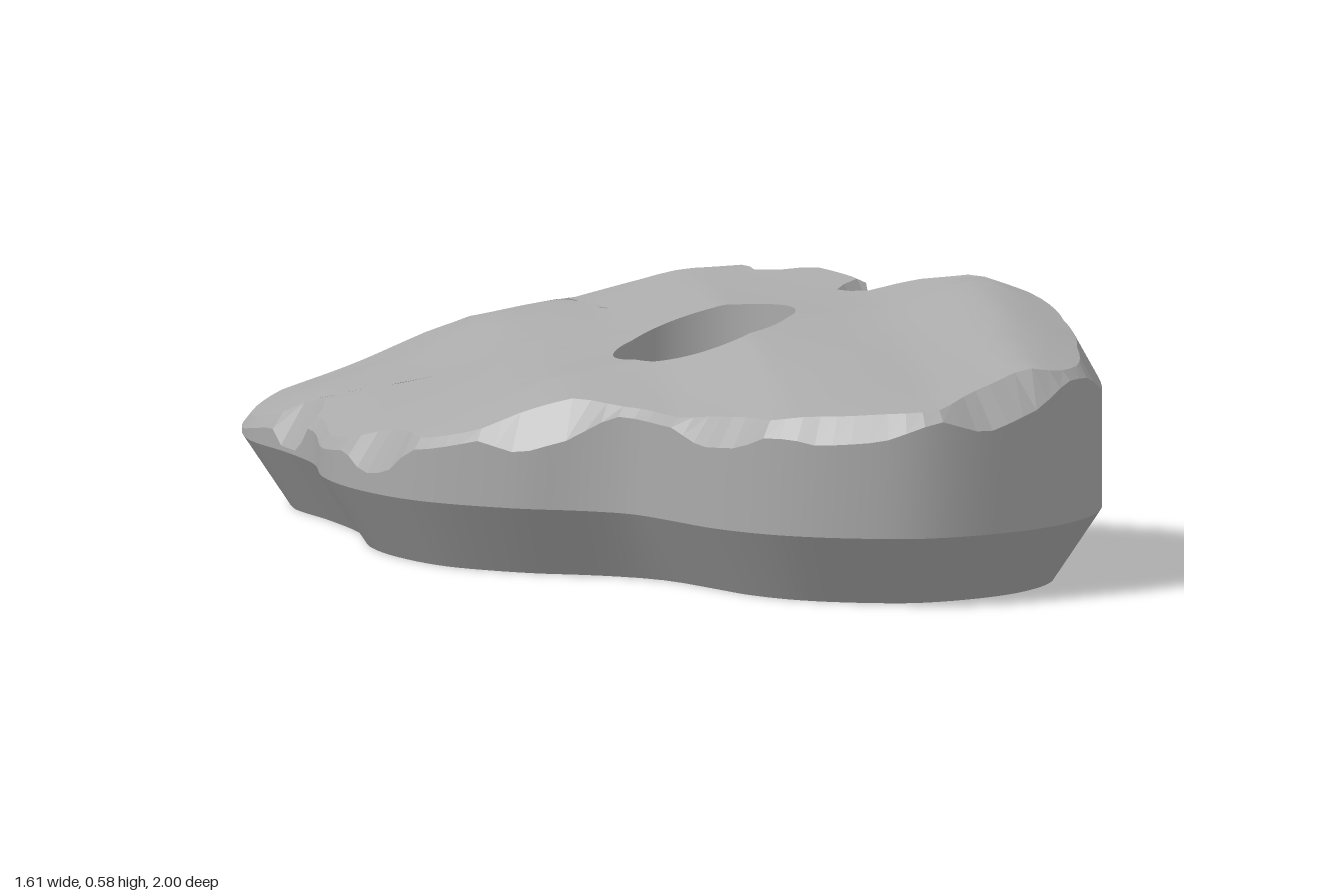
import * as THREE from 'three';

const N = 144;
const HOLE = { x: 0.03, z: 0.15, r: 0.19 };

// plan outline (x, z), running back -> right -> front -> left
const OUTLINE = [
  [-0.45, -1], [-0.34, -0.98], [-0.22, -0.91], [-0.13, -0.8], [-0.05, -0.71], [0.03, -0.64],
  [0.16, -0.56], [0.27, -0.47], [0.36, -0.34], [0.41, -0.2], [0.43, -0.06], [0.48, 0.03],
  [0.57, 0.12], [0.68, 0.21], [0.76, 0.32], [0.8, 0.46], [0.8, 0.58], [0.76, 0.72],
  [0.66, 0.86], [0.53, 0.95], [0.36, 1], [0.2, 0.97], [0.06, 0.9], [-0.05, 0.79],
  [-0.12, 0.67], [-0.19, 0.56], [-0.28, 0.5], [-0.42, 0.44], [-0.6, 0.3], [-0.7, 0.12],
  [-0.74, -0.06], [-0.73, -0.25], [-0.76, -0.42], [-0.81, -0.62], [-0.78, -0.82],
  [-0.69, -0.93], [-0.57, -0.98],
];

// height of the sloping top along x
const RISE = [
  [-0.85, 0.17], [-0.7, 0.25], [-0.5, 0.32], [-0.3, 0.4], [-0.1, 0.435],
  [0.1, 0.5], [0.4, 0.53], [0.6, 0.58], [0.75, 0.54], [0.85, 0.47],
];

// broken places on the rim: x, z, radius, depth
const CHIPS = [
  [-0.09, -0.74, 0.09, 0.08], [-0.25, -0.92, 0.17, 0.05], [0.3, -0.43, 0.1, 0.07],
  [0.42, -0.03, 0.11, 0.09], [0.8, 0.52, 0.26, 0.04], [0.55, 0.94, 0.17, 0.06],
  [0.2, 0.97, 0.2, 0.03], [-0.05, 0.8, 0.15, 0.03], [-0.36, 0.47, 0.15, 0.05],
  [-0.67, 0.18, 0.12, 0.05], [-0.74, -0.4, 0.1, 0.06], [-0.5, -1, 0.2, 0.03],
];

function topHeight(x, z) {
  let i = 0;
  while (i < RISE.length - 2 && x > RISE[i + 1][0]) i++;
  const [a, b] = [RISE[i], RISE[i + 1]];
  const y = THREE.MathUtils.lerp(a[1], b[1], (x - a[0]) / (b[0] - a[0]));
  const fall = 0.16 * Math.max(0, z - 0.25) + 0.15 * Math.max(0, -z - 0.6);
  return y - fall + 0.006 * Math.sin(9 * x + 4 * z) * Math.sin(8 * z - 3 * x);
}

function chipDepth(x, z) {
  return CHIPS.reduce((d, [cx, cz, r, depth]) =>
    Math.max(d, depth * Math.min(1, 1.6 * Math.max(0, 1 - Math.hypot(x - cx, z - cz) / r))), 0);
}

// joins closed rings of N points into a smooth surface
function loft(rings) {
  const pos = [], index = [];
  rings.forEach((ring) => ring.forEach((p) => pos.push(p.x, p.y, p.z)));
  for (let k = 0; k < rings.length - 1; k++) {
    for (let i = 0; i < N; i++) {
      const a = k * N + i, b = k * N + (i + 1) % N;
      index.push(a, a + N, b, b, a + N, b + N);
    }
  }
  const geo = new THREE.BufferGeometry();
  geo.setAttribute('position', new THREE.Float32BufferAttribute(pos, 3));
  geo.setIndex(index);
  geo.computeVertexNormals();
  return geo;
}

export function createModel() {
  const stone = new THREE.MeshStandardMaterial({ color: 0xaaaaaa });
  stone.name = 'stone grey';
  const group = new THREE.Group();
  group.name = 'stoneSlab';
  const add = (name, geo) => {
    const mesh = new THREE.Mesh(geo, stone);
    mesh.name = name;
    group.add(mesh);
  };

  const curve = new THREE.CatmullRomCurve3(
    OUTLINE.map(([x, z]) => new THREE.Vector3(x, 0, z)), true);
  const edge = curve.getSpacedPoints(N).slice(0, N);
  const outward = edge.map((p, i) => {
    const t = edge[(i + 1) % N].clone().sub(edge[(i + N - 1) % N]).normalize();
    return new THREE.Vector3(t.z, 0, -t.x);
  });
  const inset = (amount) => edge.map((p, i) => p.clone().addScaledVector(outward[i], -amount(p)));
  const atHeight = (ring, y) => ring.map((p) => new THREE.Vector3(p.x, y(p), p.z));

  // rings from the underside up to the top
  const foot = inset(() => 0.1);
  const shoulder = atHeight(edge, () => 0.15);
  const rim = atHeight(edge, (p) =>
    Math.max(0.16, topHeight(p.x, p.z) - 0.015 - chipDepth(p.x, p.z)));
  const lip = atHeight(inset((p) => 0.02 + 0.8 * chipDepth(p.x, p.z)),
    (p) => topHeight(p.x, p.z));
  const holeFoot = edge.map((p) => {
    const a = Math.atan2(p.z - HOLE.z, p.x - HOLE.x);
    return new THREE.Vector3(HOLE.x + HOLE.r * Math.cos(a), 0, HOLE.z + HOLE.r * Math.sin(a));
  });
  const topRings = [];
  for (let k = 0; k <= 10; k++) {
    const ring = lip.map((p, i) => p.clone().lerp(holeFoot[i], k / 10));
    topRings.push(atHeight(ring, (p) => topHeight(p.x, p.z)));
  }

  add('underside', loft([holeFoot, foot]));
  add('baseBevel', loft([foot, shoulder]));
  add('sideWall', loft([shoulder, rim]));
  // faceted chipped rim
  const chipped = loft([rim, lip]).toNonIndexed();
  chipped.computeVertexNormals();
  add('chippedRim', chipped);
  add('slopingTop', loft(topRings));
  add('holeWall', loft([topRings[10], holeFoot]));
  return group;
}
